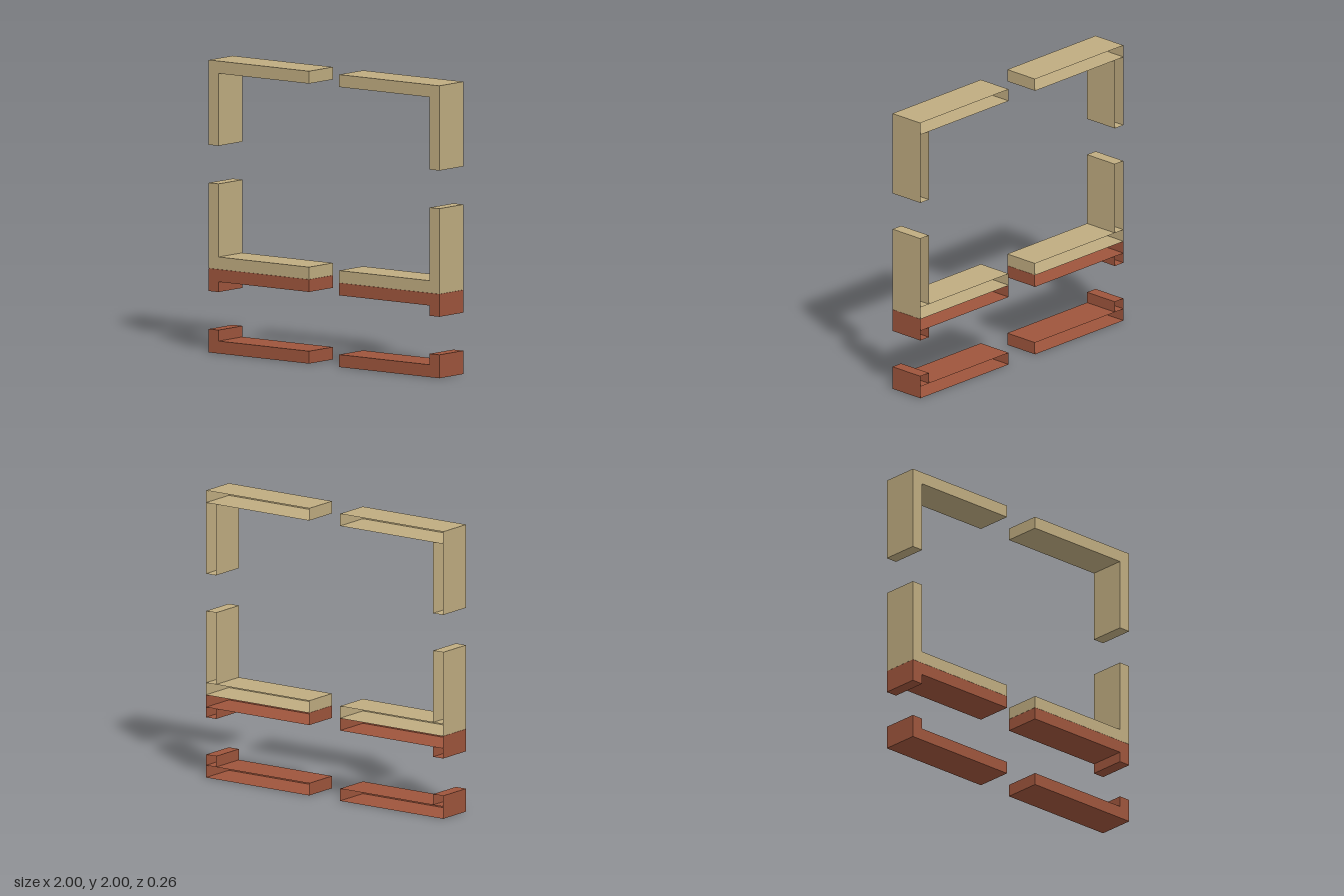
import * as THREE from 'three';

const DEPTH = 0.26, INNER = 0.13, OUTER = 1, LEG = 0.085;
// Face order of a box geometry; the back (5) is always left open
const UP = 2, DOWN = 3, BACK = 5;

// Box shell spanning x0..x1, y0..y1 with some of its six faces left out
function openBox(x0, x1, y0, y1, skip) {
  const g = new THREE.BoxGeometry(x1 - x0, y1 - y0, DEPTH);
  const all = Array.from(g.index.array);
  g.setIndex(all.filter((_, i) => !skip.includes(Math.floor(i / 6))));
  g.clearGroups();
  g.translate((x0 + x1) / 2, (y0 + y1) / 2, 0);
  return g;
}

export function createModel() {
  const tan = new THREE.MeshStandardMaterial({ color: 0xbfac80, side: THREE.DoubleSide });
  const red = new THREE.MeshStandardMaterial({ color: 0x9e553c, side: THREE.DoubleSide });

  // Each corner: bar from y0 to y1, and a leg running up or down to legEnd
  const corners = [
    { name: 'upperFrameTop', mat: tan, y0: 1.915, y1: 2, legEnd: 1.42 },
    { name: 'upperFrameBottom', mat: tan, y0: 0.576, y1: 0.66, legEnd: 1.16 },
    { name: 'lowerFrameTop', mat: red, y0: 0.49, y1: 0.575, legEnd: 0.42 },
    { name: 'lowerFrameBottom', mat: red, y0: 0, y1: 0.085, legEnd: 0.16 },
  ];

  const model = new THREE.Group();
  model.name = 'cornerFrames';
  for (const { name, mat, y0, y1, legEnd } of corners) {
    for (const side of [1, -1]) {
      const corner = new THREE.Group();
      corner.name = name + (side > 0 ? 'Left' : 'Right');
      const add = (part, a, b, lo, hi, skip) => {
        const [x0, x1] = side > 0 ? [a, b] : [-b, -a];
        const mesh = new THREE.Mesh(openBox(x0, x1, lo, hi, skip), mat);
        mesh.name = part;
        corner.add(mesh);
      };
      // Horizontal bar, open at the back
      add('bar', INNER, OUTER, y0, y1, [BACK]);
      // Vertical leg, sharing the bar's face where they meet
      if (legEnd > y1) add('leg', OUTER - LEG, OUTER, y1, legEnd, [BACK, DOWN]);
      else add('leg', OUTER - LEG, OUTER, legEnd, y0, [BACK, UP]);
      model.add(corner);
    }
  }
  return model;
}
